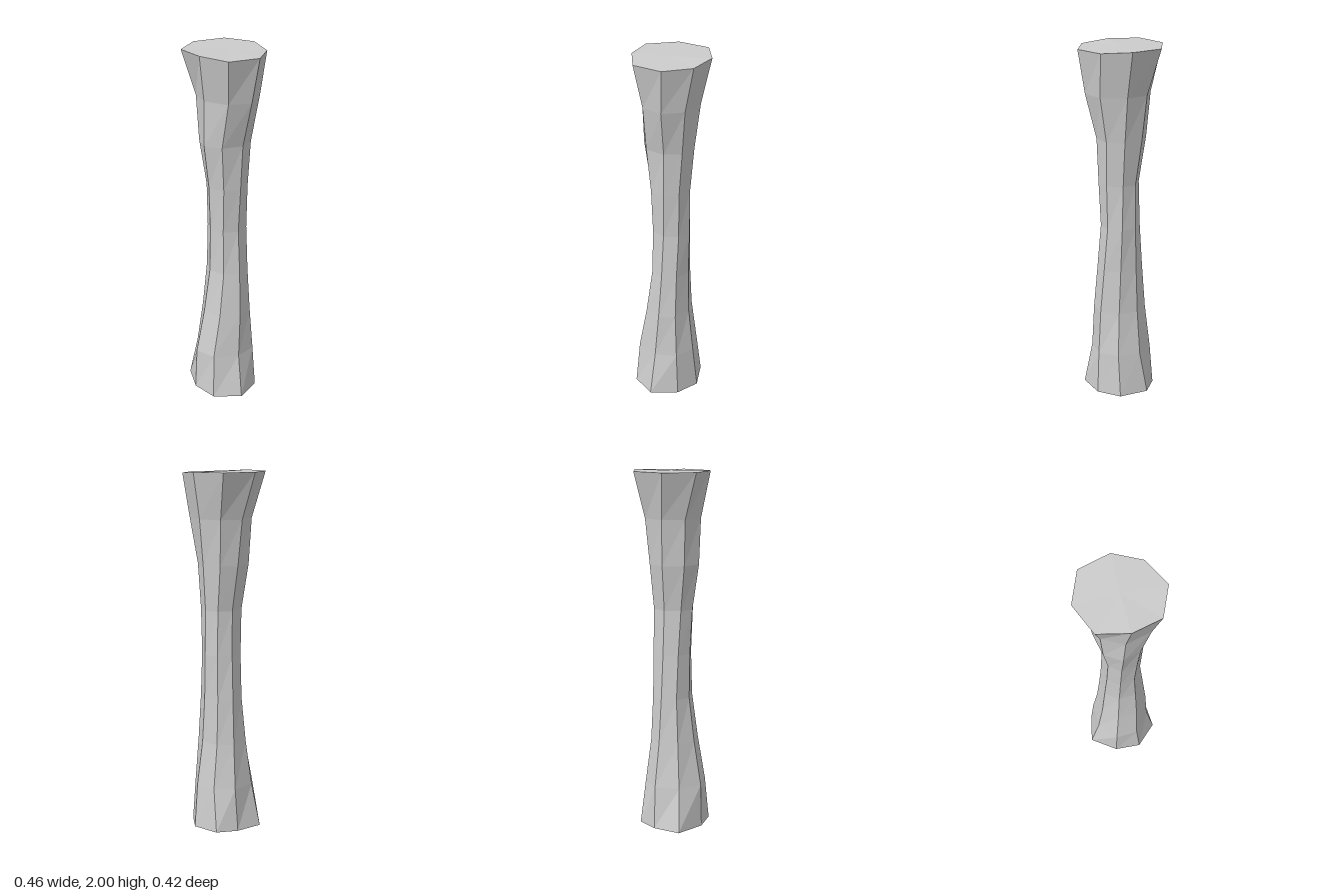
import * as THREE from 'three';

const SIDES = 8;

// End outlines as [x, z] corners, starting near +x and turning towards +z
const bottomOutline = [[0.205, 0.06], [0.105, 0.186], [-0.045, 0.2], [-0.195, 0.124],
  [-0.185, -0.03], [-0.13, -0.14], [0.03, -0.168], [0.15, -0.09]];
const topOutline = [[0.232, -0.026], [0.187, 0.143], [0.033, 0.208], [-0.138, 0.195],
  [-0.233, 0.04], [-0.19, -0.14], [-0.026, -0.21], [0.132, -0.163]];

// Waist rings: height and reach towards +x, -x, +z, -z
const waist = [
  [0.25, 0.16, 0.165, 0.192, 0.143],
  [0.5, 0.15, 0.137, 0.145, 0.113],
  [0.75, 0.13, 0.12, 0.11, 0.105],
  [1.0, 0.11, 0.106, 0.11, 0.108],
  [1.25, 0.122, 0.1, 0.122, 0.107],
  [1.5, 0.132, 0.14, 0.157, 0.127],
  [1.75, 0.193, 0.165, 0.163, 0.157],
];

// One uneven octagon, turned a little further towards the foot
function waistRing([y, px, nx, pz, nz]) {
  const turn = THREE.MathUtils.degToRad(16 - 11 * y);
  const angles = Array.from({ length: SIDES }, (_, i) => turn + (i * Math.PI * 2) / SIDES);
  const widest = Math.max(...angles.map(Math.cos));
  return angles.map((a) => {
    const c = Math.cos(a) / widest, s = Math.sin(a) / widest;
    return [c * (c > 0 ? px : nx), y, s * (s > 0 ? pz : nz)];
  });
}

export function createModel() {
  const group = new THREE.Group();
  group.name = 'twistedColumn';
  const stone = new THREE.MeshStandardMaterial({ color: 0xcccccc, flatShading: true });
  stone.name = 'paleGrey';

  const rings = [
    bottomOutline.map(([x, z]) => [x, x > 0 ? 0.004 : 0.01, z]),
    ...waist.map(waistRing),
    topOutline.map(([x, z]) => [x, x > 0.1 ? 1.99 : 2, z]),
  ];
  const positions = rings.flat(2);
  const index = [];

  // Sides
  for (let r = 0; r < rings.length - 1; r++) {
    for (let i = 0; i < SIDES; i++) {
      const j = (i + 1) % SIDES;
      const a = r * SIDES + i, b = r * SIDES + j;
      const c = b + SIDES, d = a + SIDES;
      index.push(b, a, d, b, d, c);
    }
  }

  // Closed ends
  const foot = rings.length * SIDES, head = foot + 1, last = foot - SIDES;
  positions.push(0, 0, 0, 0, 1.997, 0);
  for (let i = 0; i < SIDES; i++) {
    const j = (i + 1) % SIDES;
    index.push(foot, i, j, head, last + j, last + i);
  }

  const geometry = new THREE.BufferGeometry();
  geometry.setAttribute('position', new THREE.Float32BufferAttribute(positions, 3));
  geometry.setIndex(index);
  geometry.computeVertexNormals();
  const column = new THREE.Mesh(geometry, stone);
  column.name = 'columnShaft';
  group.add(column);
  return group;
}
